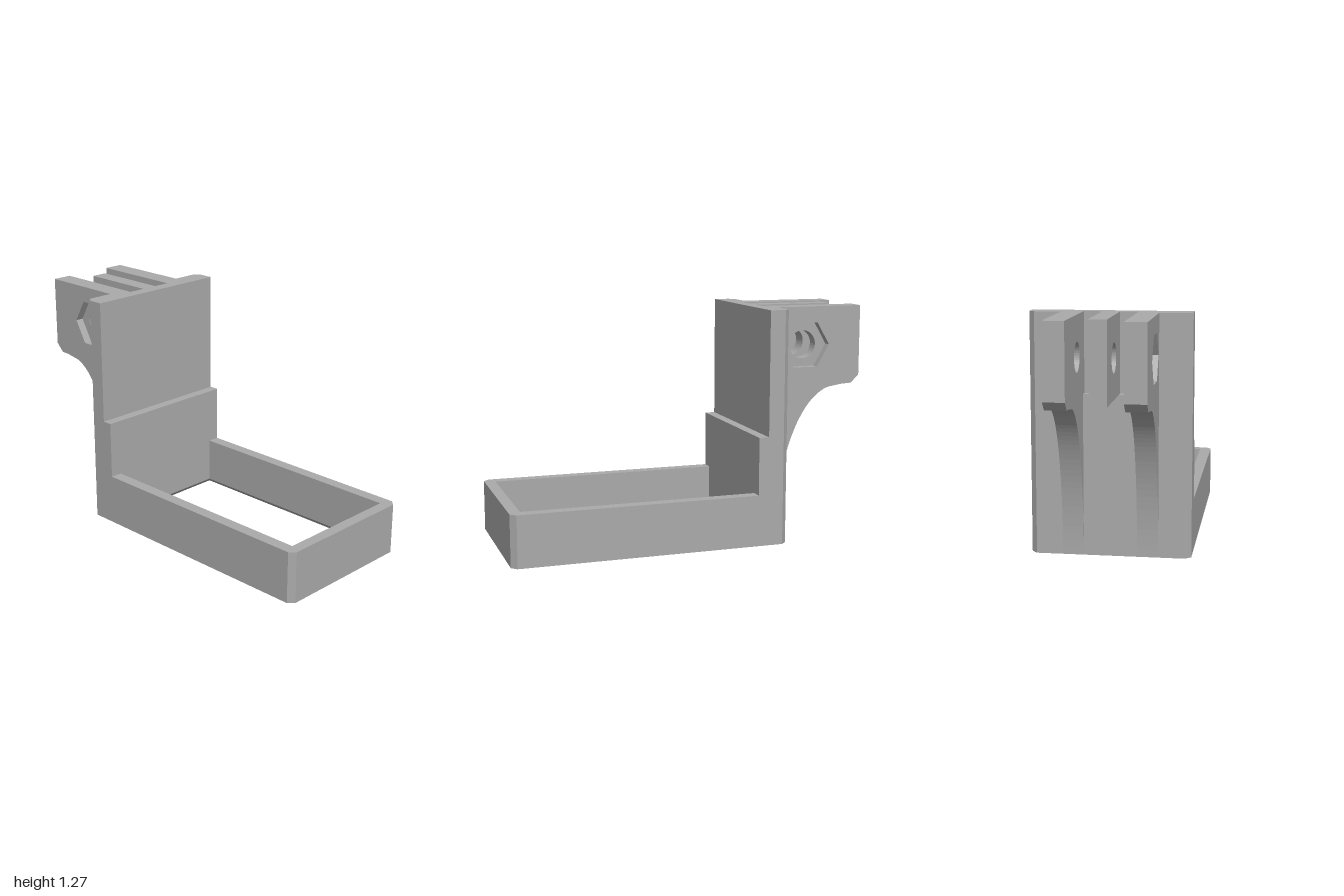
import * as THREE from 'three';

const HOLE = [-0.675, 1.06];
const H = 1.27;

const toShape = (pts) => new THREE.Shape(pts.map(([x, y]) => new THREE.Vector2(x, y)));

// Regular hole outline with n corners around the bolt axis
function boltHole(n, r) {
  const pts = [];
  for (let i = 0; i < n; i++) {
    const a = (i / n) * Math.PI * 2;
    pts.push(new THREE.Vector2(HOLE[0] + r * Math.cos(a), HOLE[1] + r * Math.sin(a)));
  }
  return new THREE.Path(pts);
}

const extrude = (shape, depth) => new THREE.ExtrudeGeometry(shape, { depth, bevelEnabled: false });

// Floor-plan outline raised from y0 to y1
function raise(shape, y0, y1) {
  return extrude(shape, y1 - y0).rotateX(-Math.PI / 2).translate(0, y0, 0);
}

export function createModel() {
  const group = new THREE.Group();
  const grey = new THREE.MeshStandardMaterial({ color: 0xaaaaaa });
  grey.name = 'grey plastic';
  const add = (name, geometry) => {
    const mesh = new THREE.Mesh(geometry, grey);
    mesh.name = name;
    group.add(mesh);
  };

  // Rectangular frame with chamfered corners
  const W = 0.42, c = 0.03, lip = 0.03;
  const frame = () => {
    const s = toShape([[-0.51, -W + c], [-0.51 + c, -W], [1 - c, -W], [1, -W + c],
      [1, W - c], [1 - c, W], [-0.51 + c, W], [-0.51, W - c]]);
    s.holes.push(toShape([[-0.34, -0.355], [-0.34, 0.355], [0.94, 0.355], [0.94, -0.355]]));
    return s;
  };
  add('frame', raise(frame(), lip, 0.28));

  // Lower rim, whose opening flares outward toward the bottom
  const rim = raise(frame(), 0, lip);
  const p = rim.attributes.position;
  for (let i = 0; i < p.count; i++) {
    const x = p.getX(i), z = p.getZ(i);
    if (p.getY(i) < 0.01 && Math.abs(z) < 0.36 && x > -0.35 && x < 0.95) {
      p.setX(i, x + (x > 0 ? lip : -lip));
      p.setZ(i, z + Math.sign(z) * lip);
    }
  }
  rim.computeVertexNormals();
  add('frameRim', rim);

  // Upright plate, chamfered at the back
  const edge = [[-0.51, W - c], [-0.51 + c, W], [-0.395, W]];
  const outline = (notches) => {
    const half = [...notches, ...edge];
    return toShape([...half, ...half.map(([x, z]) => [x, -z]).reverse()]);
  };
  add('uprightPlate', raise(outline([]), 0.28, 0.85));
  add('slottedPlate', raise(outline([[-0.51, 0.045], [-0.465, 0.045], [-0.465, 0.14], [-0.51, 0.14]]), 0.85, H));

  // Thicker step at the foot of the plate
  const step = new THREE.BoxGeometry(0.055, 0.315, 2 * W);
  step.translate(-0.3675, 0.4375, 0);
  add('plateStep', step);

  // Outer fins: curved gusset, bolt hole and hexagonal nut pocket
  const finPoints = [[-0.5, 0], [-0.5, H], [-1, H], [-1, 0.885], [-0.955, 0.84], [-0.9, 0.837]];
  for (let i = 0; i <= 32; i++) {
    const a = 1.46 * (1 - i / 32);
    finPoints.push([-0.86 + 0.35 * Math.cos(a), 0.83 * Math.sin(a)]);
  }
  const finLayer = (hole, z0, z1) => {
    const s = toShape(finPoints);
    s.holes.push(hole);
    return extrude(s, z1 - z0).translate(0, 0, z0);
  };
  const round = () => boltHole(40, 0.077);
  const hex = () => boltHole(6, 0.14);
  add('frontFinInner', finLayer(round(), 0.14, 0.205));
  add('frontFinNutPocket', finLayer(hex(), 0.205, 0.25));
  add('backFinInner', finLayer(round(), -0.205, -0.14));
  add('backFinNutPocket', finLayer(hex(), -0.25, -0.205));

  // Shorter middle fin
  const middle = toShape([[-0.465, 0.85], [-0.465, H], [-0.9, H], [-0.9, 0.85]]);
  middle.holes.push(round());
  add('middleFin', extrude(middle, 0.09).translate(0, 0, -0.045));

  return group;
}
